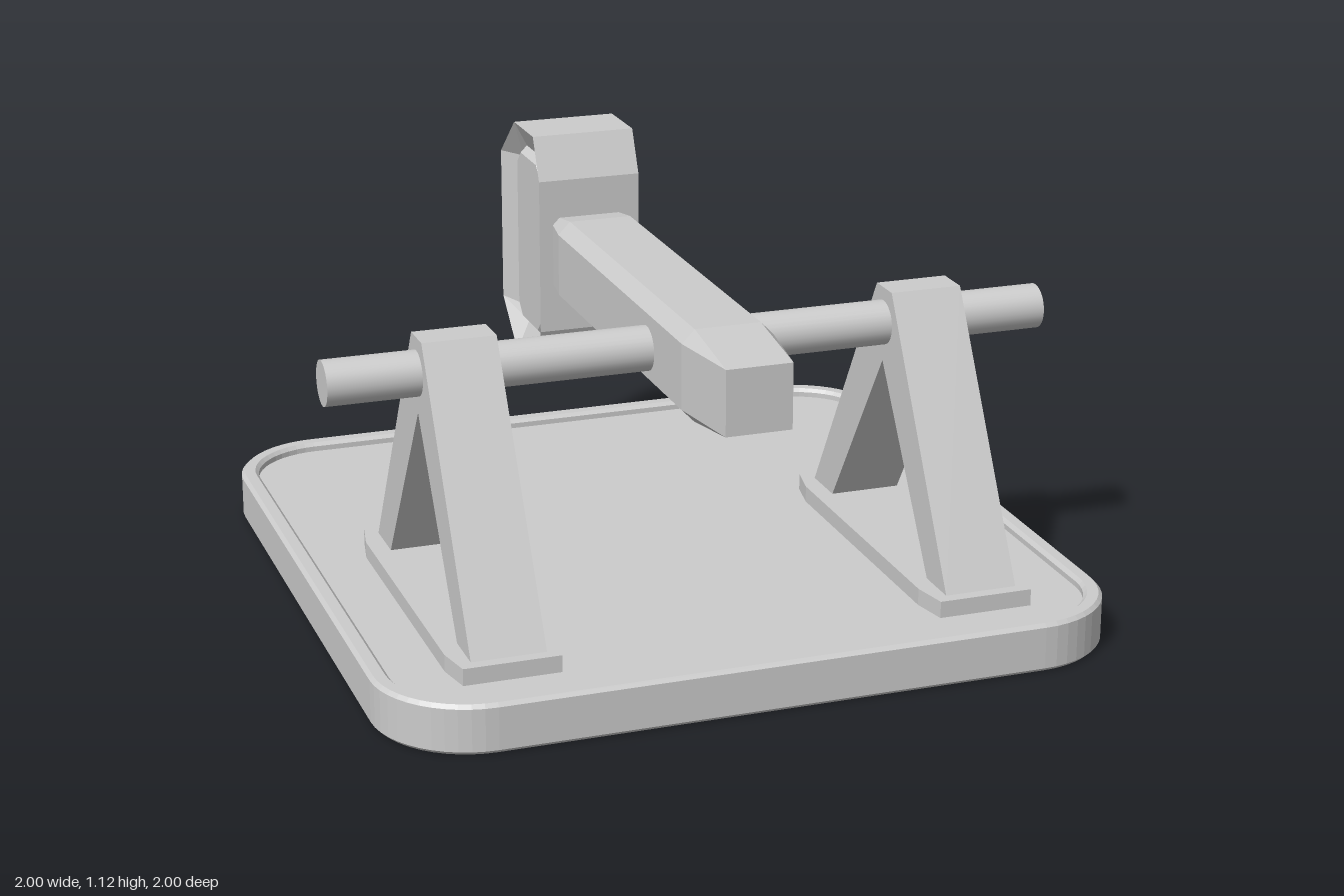
import * as THREE from 'three';

const flat = new THREE.MeshStandardMaterial({ color: 0xcccccc, flatShading: true });
const smooth = new THREE.MeshStandardMaterial({ color: 0xcccccc });

function addMesh(parent, name, geometry, material = flat) {
  const mesh = new THREE.Mesh(geometry, material);
  mesh.name = name;
  parent.add(mesh);
  return mesh;
}

// Joins rings of [x, y] points, given with their z, into a capped solid.
function loft(rings) {
  const pos = [];
  const n = rings[0].points.length;
  const put = (r, i) => pos.push(...r.points[i % n], r.z);
  for (let k = 0; k < rings.length - 1; k++) {
    const a = rings[k], b = rings[k + 1];
    for (let i = 0; i < n; i++) {
      put(a, i); put(a, i + 1); put(b, i + 1);
      put(a, i); put(b, i + 1); put(b, i);
    }
  }
  const first = rings[0], last = rings[rings.length - 1];
  for (let i = 1; i < n - 1; i++) {
    put(first, 0); put(first, i + 1); put(first, i);
    put(last, 0); put(last, i); put(last, i + 1);
  }
  const g = new THREE.BufferGeometry();
  g.setAttribute('position', new THREE.Float32BufferAttribute(pos, 3));
  g.computeVertexNormals();
  return g;
}

// Counter-clockwise octagon: outer half sizes, and half sizes of the straight edges.
function octagon(hx, hy, ix, iy, cx = 0, cy = 0) {
  return [[hx, -iy], [hx, iy], [ix, hy], [-ix, hy], [-hx, iy], [-hx, -iy], [-ix, -hy], [ix, -hy]]
    .map(([x, y]) => [x + cx, y + cy]);
}

function roundedSquare(h, r) {
  const s = new THREE.Shape();
  s.absarc(h - r, h - r, r, 0, Math.PI / 2);
  s.absarc(r - h, h - r, r, Math.PI / 2, Math.PI);
  s.absarc(r - h, r - h, r, Math.PI, Math.PI * 1.5);
  s.absarc(h - r, r - h, r, Math.PI * 1.5, Math.PI * 2);
  s.closePath();
  return s;
}

function polygon(points) {
  return new THREE.Shape(points.map(([x, y]) => new THREE.Vector2(x, y)));
}

// Extrudes a plan shape upward from height y.
function slab(shape, y, depth, options = {}) {
  const g = new THREE.ExtrudeGeometry(shape, { depth, bevelEnabled: false, curveSegments: 6, ...options });
  return g.rotateX(-Math.PI / 2).translate(0, y, 0);
}

export function createModel() {
  const model = new THREE.Group();
  model.name = 'tiltHammer';

  // Base tray: raised rim around a recessed floor
  const rim = roundedSquare(1, 0.26);
  rim.holes.push(roundedSquare(0.95, 0.21));
  const bevel = 0.01;
  addMesh(model, 'baseRim', slab(rim, bevel, 0.135 - 2 * bevel, {
    bevelEnabled: true, bevelThickness: bevel, bevelSize: bevel, bevelOffset: -bevel, bevelSegments: 1,
  }));
  addMesh(model, 'baseFloor', slab(roundedSquare(0.955, 0.215), 0.03, 0.08));

  // Two A-shaped supports on foot plates
  const frame = polygon([
    [-0.79, 0.15], [-0.665, 0.15], [-0.33, 0.665], [0.005, 0.15],
    [0.14, 0.15], [-0.28, 0.87], [-0.38, 0.87],
  ]);
  const foot = polygon([
    [-0.13, -0.82], [0.13, -0.82], [0.15, -0.72], [0.15, 0.08],
    [0.13, 0.18], [-0.13, 0.18], [-0.15, 0.08], [-0.15, -0.72],
  ]);
  for (const side of [-1, 1]) {
    const support = new THREE.Group();
    support.name = side > 0 ? 'leftSupport' : 'rightSupport';
    support.position.x = side * 0.65;
    model.add(support);
    addMesh(support, 'footPlate', slab(foot, 0.1, 0.056));
    const legs = new THREE.ExtrudeGeometry(frame, { depth: 0.2, bevelEnabled: false });
    addMesh(support, 'legs', legs.translate(0, 0, -0.1).rotateY(Math.PI / 2));
  }

  // Axle across both supports
  const axle = addMesh(model, 'axle', new THREE.CylinderGeometry(0.061, 0.061, 2, 32), smooth);
  axle.rotation.z = Math.PI / 2;
  axle.position.set(0, 0.773, 0.327);

  // Handle: chamfered beam narrowing at both ends
  const handleEnd = octagon(0.09, 0.089, 0.09, 0.089);
  const handleBody = octagon(0.125, 0.125, 0.09, 0.089);
  const handle = addMesh(model, 'hammerHandle', loft([
    { z: -0.67, points: handleEnd },
    { z: -0.44, points: handleBody },
    { z: 0.6, points: handleBody },
    { z: 0.83, points: handleEnd },
  ]));
  handle.position.y = 0.78;

  // Head: eight-sided block with sloped recesses and raised cheek panels
  const outline = [
    [0.92, 0.55], [0.92, 1.0], [0.78, 1.12], [0.595, 1.12],
    [0.54, 1.0], [0.54, 0.55], [0.595, 0.42], [0.78, 0.42],
  ];
  const groove = octagon(0.128, 0.27, 0.09, 0.23, 0.713, 0.77);
  const panel = octagon(0.11, 0.25, 0.075, 0.215, 0.71, 0.775);
  const head = addMesh(model, 'hammerHead', loft([
    { z: -0.13, points: panel },
    { z: -0.105, points: groove },
    { z: -0.15, points: outline },
    { z: 0.15, points: outline },
    { z: 0.105, points: groove },
    { z: 0.13, points: panel },
  ]));
  head.rotation.y = Math.PI / 2;

  return model;
}
